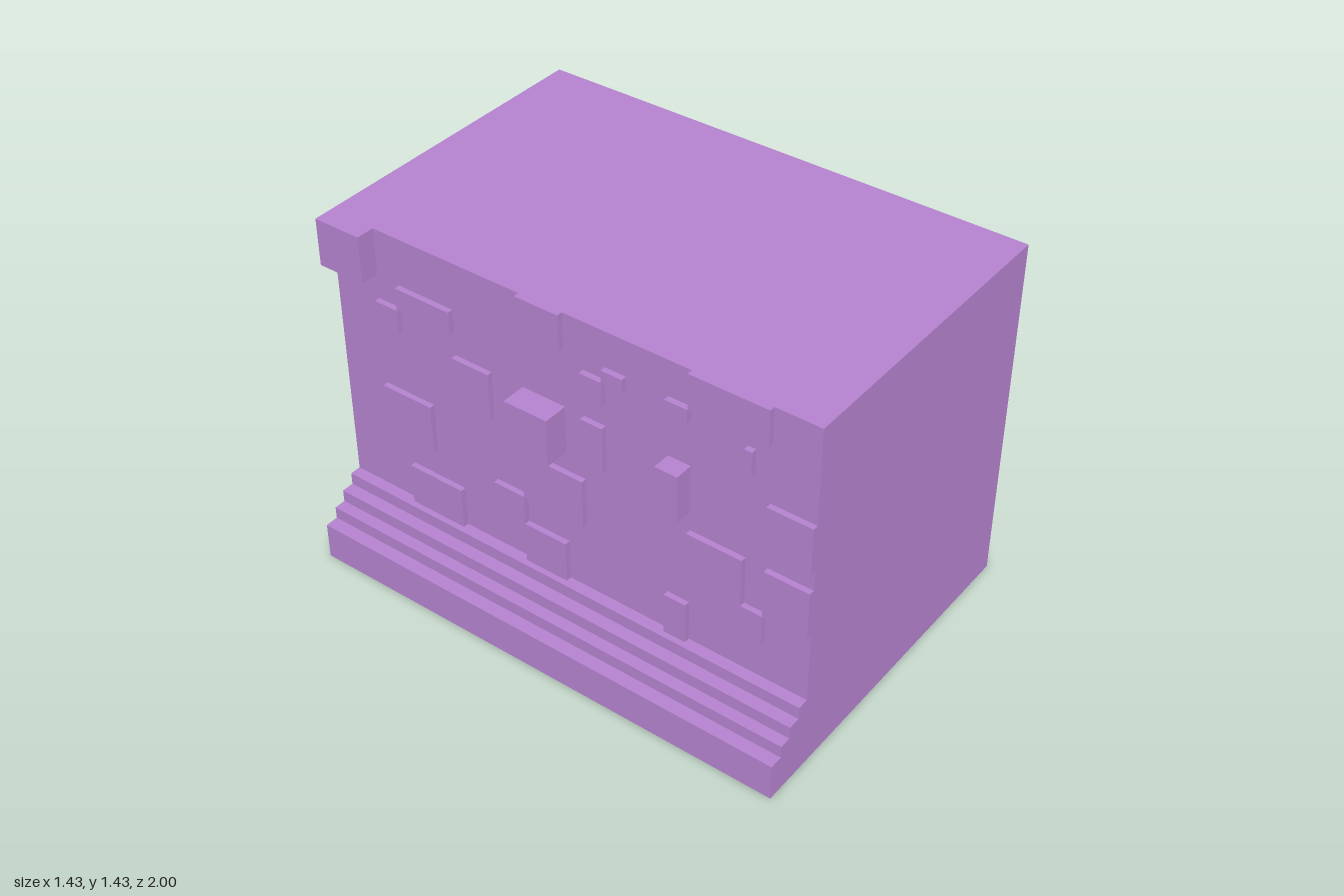
import * as THREE from 'three';

export function createModel() {
  const model = new THREE.Group();
  model.name = 'cliffBlock';
  const purple = new THREE.MeshStandardMaterial({ color: 0xb482cd });
  purple.name = 'purple';

  const WALL = -0.52, TOP = 1.43;

  // Main body: one stepped cross-section swept along z
  const profile = [
    [-0.715, 0], [0.712, 0], [0.712, TOP], [WALL, TOP], [WALL, 0.3], [-0.565, 0.3],
    [-0.565, 0.25], [-0.615, 0.25], [-0.615, 0.2], [-0.662, 0.2], [-0.662, 0.15], [-0.715, 0.15],
  ];
  const shape = new THREE.Shape(profile.map(([x, y]) => new THREE.Vector2(x, y)));
  const bodyGeometry = new THREE.ExtrudeGeometry(shape, { depth: 2, bevelEnabled: false });
  bodyGeometry.translate(0, 0, -1);
  const body = new THREE.Mesh(bodyGeometry, purple);
  body.name = 'steppedBody';
  model.add(body);

  // Raised stones on the wall
  const stones = new THREE.Group();
  stones.name = 'wallStones';
  model.add(stones);
  function addStone(name, z0, z1, y0, y1, outer = -0.542) {
    const geometry = new THREE.BoxGeometry(WALL - outer, y1 - y0, z1 - z0);
    const stone = new THREE.Mesh(geometry, purple);
    stone.name = name;
    stone.position.set((WALL + outer) / 2, (y0 + y1) / 2, (z0 + z1) / 2);
    stones.add(stone);
  }

  // Rows of shallow stones: [bottom, top, [z start, z end] ...]
  const rows = [
    [1.29, TOP, [-0.17, 0.01], [0.52, 0.825]],
    [1.24, 1.29, [0.18, 0.265], [0.43, 0.52]],
    [1.147, 1.24, [-0.705, -0.465], [0.09, 0.18], [0.735, 0.765]],
    [1.053, 1.147, [-0.805, -0.705]],
    [0.865, 1.053, [-0.465, -0.305], [0.09, 0.18], [0.825, 1]],
    [0.59, 0.785, [-0.805, -0.585], [-0.17, 0.09], [0.52, 0.74], [0.825, 1]],
    [0.468, 0.59, [-0.305, -0.17], [0.735, 0.825]],
    [0.3, 0.468, [-0.705, -0.465], [-0.17, 0.01], [0.43, 0.52]],
  ];
  for (const [y0, y1, ...spans] of rows)
    for (const [z0, z1] of spans) addStone('shallowStone', z0, z1, y0, y1);

  // Deeper blocks
  addStone('cornerOverhang', -1, -0.805, 1.243, TOP, -0.592);
  addStone('deepBlock', -0.17, 0.01, 0.865, 1.053, -0.618);
  addStone('narrowBlock', 0.43, 0.52, 0.865, 1.053, -0.592);

  return model;
}
